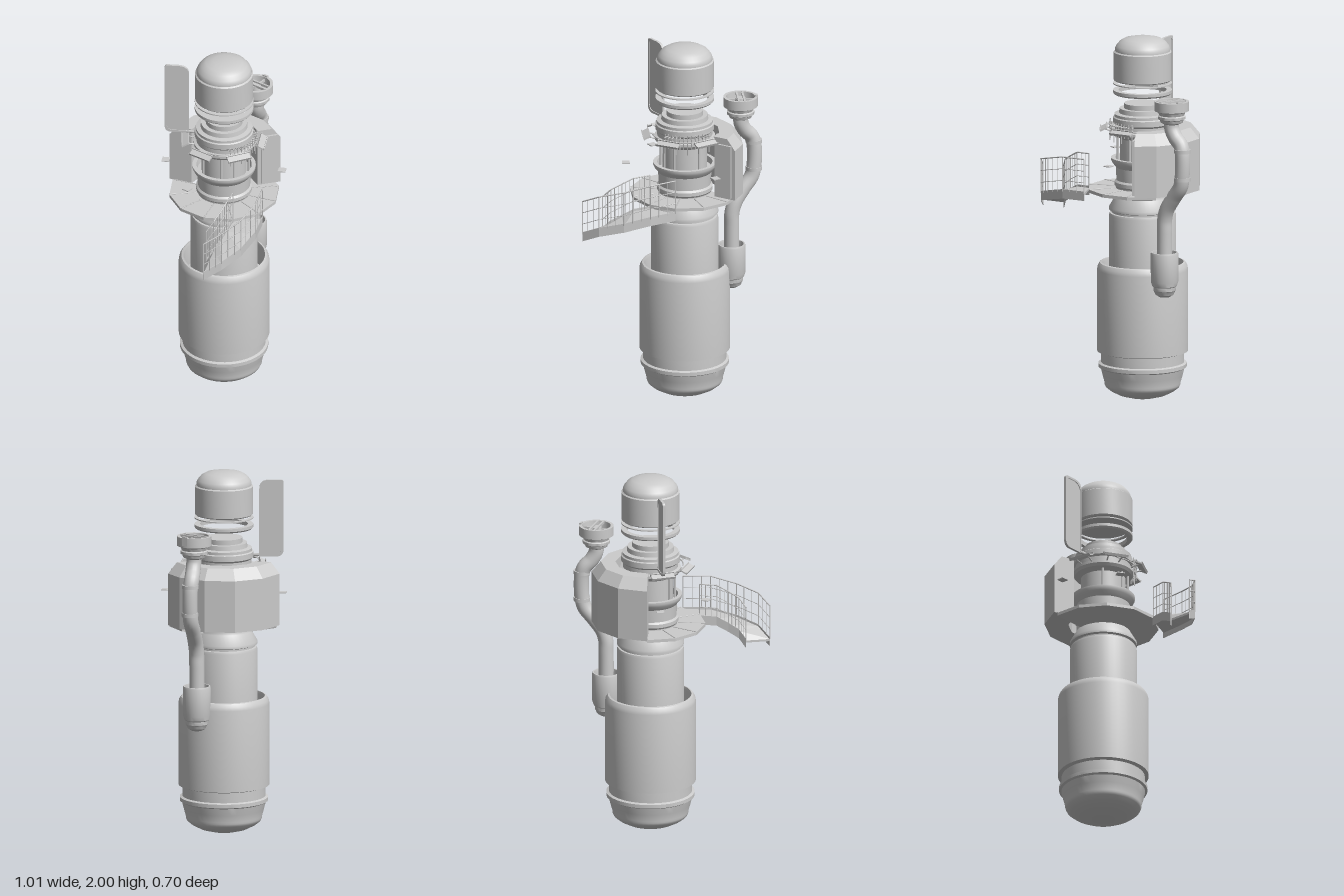
import * as THREE from 'three';
import { toCreasedNormals } from 'three/addons/utils/BufferGeometryUtils.js';

const CX = 0.08, CZ = -0.045; // main axis of the tower
const V = (x, y, z) => new THREE.Vector3(x, y, z);
const rad = THREE.MathUtils.degToRad;
// point at an angle round the main axis (0 = +x, 90 = front)
const polar = (r, y, deg) => V(CX + r * Math.cos(rad(deg)), y, CZ + r * Math.sin(rad(deg)));

export function createModel() {
  const model = new THREE.Group();
  const mat = new THREE.MeshStandardMaterial({ color: 0xcccccc });
  const both = new THREE.MeshStandardMaterial({ color: 0xcccccc, side: THREE.DoubleSide });

  function add(name, geo, x = 0, y = 0, z = 0, material = mat, parent = model) {
    const m = new THREE.Mesh(geo, material);
    m.name = name;
    m.position.set(x, y, z);
    parent.add(m);
    return m;
  }
  function lathe(name, pts, x = CX, z = CZ, seg = 48) {
    const geo = new THREE.LatheGeometry(pts.map(([r, y]) => new THREE.Vector2(r, y)), seg);
    return add(name, toCreasedNormals(geo, 0.55), x, 0, z, both);
  }
  function rod(name, a, b, r, parent = model) {
    const d = b.clone().sub(a);
    const m = add(name, new THREE.CylinderGeometry(r, r, d.length(), 6), 0, 0, 0, mat, parent);
    m.position.copy(a).add(b).multiplyScalar(0.5);
    m.quaternion.setFromUnitVectors(V(0, 1, 0), d.normalize());
    return m;
  }
  // faceted solid through closed convex cross-sections
  function loft(name, sections) {
    const p = [], tri = (...v) => v.forEach(q => p.push(q.x, q.y, q.z));
    const n = sections[0].length, last = sections[sections.length - 1];
    for (let i = 0; i < sections.length - 1; i++) {
      for (let j = 0; j < n; j++) {
        const k = (j + 1) % n, s = sections[i], t = sections[i + 1];
        tri(s[j], s[k], t[j]);
        tri(s[k], t[k], t[j]);
      }
    }
    for (let j = 1; j < n - 1; j++) {
      tri(sections[0][0], sections[0][j + 1], sections[0][j]);
      tri(last[0], last[j], last[j + 1]);
    }
    const g = new THREE.BufferGeometry();
    g.setAttribute('position', new THREE.Float32BufferAttribute(p, 3));
    g.computeVertexNormals();
    return add(name, g, 0, 0, 0, both);
  }
  const ringSector = (name, angles, profile) =>
    loft(name, angles.map(a => profile.map(([r, y]) => polar(r, y, a))));

  // Lower tank with rounded base and hollow rim
  lathe('lowerTank', [[0, 0], [0.07, 0.006], [0.13, 0.022], [0.175, 0.045], [0.2, 0.065], [0.207, 0.08],
    [0.207, 0.09], [0.218, 0.13], [0.228, 0.17], [0.24, 0.177], [0.24, 0.197], [0.226, 0.203], [0.226, 0.258],
    [0.247, 0.265], [0.247, 0.715], [0.243, 0.735], [0.232, 0.752], [0.222, 0.755], [0.218, 0.74], [0.218, 0.62], [0.18, 0.62]]);
  // Stepped inner column, bowl and collar
  lathe('column', [[0.182, 0.6], [0.182, 1.015], [0.178, 1.028], [0.168, 1.03], [0.168, 1.04], [0.182, 1.045],
    [0.182, 1.06], [0.15, 1.115], [0.145, 1.125], [0.145, 1.17], [0.152, 1.18], [0.152, 1.2], [0.142, 1.21], [0.145, 1.28],
    [0.165, 1.305], [0.172, 1.32], [0.172, 1.332], [0.15, 1.332], [0.145, 1.30], [0.122, 1.30],
    [0.122, 1.44], [0.155, 1.455], [0.165, 1.47], [0.165, 1.485], [0.15, 1.49], [0.15, 1.515], [0.16, 1.525],
    [0.16, 1.555], [0.153, 1.56], [0.153, 1.575], [0.128, 1.58], [0.125, 1.605], [0.1, 1.605], [0.1, 1.632], [0, 1.632]]);
  // Separated rings and domed capsule above
  lathe('floatingRing', [[0.13, 1.682], [0.152, 1.682], [0.16, 1.69], [0.16, 1.706], [0.13, 1.706], [0.13, 1.682]]);
  lathe('thinRing', [[0.14, 1.739], [0.16, 1.739], [0.16, 1.745], [0.14, 1.745], [0.14, 1.739]]);
  lathe('capsule', [[0, 1.757], [0.152, 1.757], [0.158, 1.763], [0.158, 1.915], [0.15, 1.921], [0.15, 1.935],
    [0.143, 1.95], [0.125, 1.972], [0.1, 1.987], [0.06, 1.996], [0, 2]]);

  // Faceted housing wrapping the back and left side
  ringSector('housing', [-105, -75, -45, -15, 15, 37],
    [[0.32, 1.165], [0.32, 1.45], [0.27, 1.51], [0.19, 1.51], [0.19, 1.165]]);
  const door = add('housingDoor', new THREE.BoxGeometry(0.09, 0.3, 0.012));
  door.position.copy(polar(0.255, 1.325, 39));
  door.rotation.y = -rad(37);

  // Walkway round the front and right side, with its joints
  const deck = [15, 45, 75, 105, 135, 165, 195, 225, 255];
  ringSector('walkway', deck, [[0.3, 1.148], [0.3, 1.165], [0.14, 1.165], [0.14, 1.115]]);
  deck.slice(1).forEach(a => rod('walkwayJoint', polar(0.15, 1.166, a), polar(0.298, 1.166, a), 0.003));

  // Curved stair descending from the walkway
  const outer = [[0, 0.275], [-0.14, 0.33], [-0.285, 0.34], [-0.42, 0.31], [-0.505, 0.25]];
  const inner = [[-0.13, 0.17], [-0.22, 0.195], [-0.285, 0.2], [-0.345, 0.2], [-0.39, 0.185]];
  const steps = [1.145, 1.14, 1.11, 1.08, 1.035];
  loft('stairRamp', steps.map((y, i) => {
    const [a, b] = outer[i], [c, d] = inner[i];
    return [V(a, y - 0.012, b), V(a, y, b), V(c, y, d), V(c, y - 0.012, d)];
  }));
  for (const [name, side] of [['outer', outer], ['inner', inner]]) {
    const rail = new THREE.Group();
    rail.name = name + 'Railing';
    model.add(rail);
    const at = (i, h) => V(side[i][0], steps[i] + h, side[i][1]);
    // side stringer
    loft(name + 'Stringer', steps.map((y, i) => {
      const [x, z] = side[i];
      return [V(x, y - 0.04, z), V(x, y + 0.012, z), V(x, y + 0.012, z - 0.004), V(x, y - 0.04, z - 0.004)];
    }));
    for (let i = 0; i < steps.length; i++) {
      rod('post', at(i, 0), at(i, 0.19), 0.003, rail);
      if (i === steps.length - 1) continue;
      for (const h of [0.06, 0.125, 0.19]) rod('rail', at(i, h), at(i + 1, h), h > 0.18 ? 0.0035 : 0.002, rail);
      for (const t of [1 / 3, 2 / 3])
        rod('post', at(i, 0).lerp(at(i + 1, 0), t), at(i, 0.19).lerp(at(i + 1, 0.19), t), 0.002, rail);
    }
  }

  // Tilted consoles round the collar, on short brackets
  for (const a of [62, 121, 180, 233]) {
    const g = new THREE.Group();
    g.name = 'console';
    g.position.copy(polar(0.21, 1.495, a));
    g.rotation.set(0, rad(90 - a), 0);
    model.add(g);
    const tilt = new THREE.Group();
    tilt.name = 'consoleHead';
    tilt.rotation.x = 0.45;
    g.add(tilt);
    add('consolePanel', new THREE.BoxGeometry(0.13, 0.008, 0.036), 0, 0, 0, mat, tilt);
    for (const z of [-0.018, 0.018]) add('consoleFrame', new THREE.BoxGeometry(0.134, 0.014, 0.005), 0, 0.003, z, mat, tilt);
    for (const x of [-0.04, 0.04]) rod('consoleBracket', V(x, 0, 0), V(x * 0.8, -0.015, -0.06), 0.004, g);
  }
  // Small separate plates
  for (const a of [64, 182, 242]) {
    const plate = add('smallPlate', new THREE.BoxGeometry(0.042, 0.005, 0.042));
    plate.position.copy(polar(0.32, 1.332, a));
    plate.rotation.y = -rad(a);
  }
  // Rods hanging from the front of the collar
  for (let i = 0; i < 13; i++) {
    const a = 48 + i * 7, drop = i % 3 ? 1.46 : 1.43;
    rod('collarRod', polar(0.178, drop, a), polar(0.178, 1.54, a), 0.003);
    rod('collarPeg', polar(0.15, 1.52, a), polar(0.185, 1.52, a), 0.004);
  }
  const band = add('collarBand', new THREE.TorusGeometry(0.178, 0.004, 6, 40, rad(160)), CX, 1.5, CZ);
  band.rotation.set(Math.PI / 2, 0, -rad(-15));
  // Service poles between bowl and collar
  for (const a of [60, 120, 150, 200]) rod('servicePole', polar(0.135, 1.3, a), polar(0.135, 1.46, a), 0.007);

  // Upright rounded fin behind the capsule, with raised border
  const fin = new THREE.Group();
  fin.name = 'fin';
  fin.position.set(-0.055, 1.53, -0.265);
  fin.rotation.y = rad(58.7);
  fin.rotation.y *= -1;
  model.add(fin);
  const finShape = (s, w, h, o) => {
    s.moveTo(w, o);
    s.lineTo(w, h - 0.05);
    s.quadraticCurveTo(w, h, w - 0.06, h);
    s.lineTo(-w + 0.015, h);
    s.quadraticCurveTo(-w, h, -w, h - 0.015);
    s.lineTo(-w, o + 0.04);
    s.quadraticCurveTo(-w, o, -w + 0.04, o);
    s.closePath();
    return s;
  };
  const sheet = (s, d) => new THREE.ExtrudeGeometry(s, { depth: d, bevelEnabled: false });
  add('finPanel', sheet(finShape(new THREE.Shape(), 0.064, 0.42, 0), 0.006), 0, 0, -0.003, mat, fin);
  const border = finShape(new THREE.Shape(), 0.066, 0.422, -0.002);
  border.holes.push(finShape(new THREE.Path(), 0.056, 0.41, 0.01));
  add('finBorder', sheet(border, 0.014), 0, 0, -0.007, mat, fin);
  rod('finArm', V(-0.03, 1.535, -0.22), polar(0.14, 1.535, 235), 0.008);

  // Side pipe with bends
  const path = new THREE.CatmullRomCurve3([V(0.385, 1.6, -0.055), V(0.388, 1.54, -0.056), V(0.41, 1.495, -0.065),
    V(0.445, 1.455, -0.08), V(0.46, 1.41, -0.082), V(0.46, 1.28, -0.08), V(0.447, 1.225, -0.077), V(0.4, 1.16, -0.062),
    V(0.355, 1.09, -0.045), V(0.337, 1.03, -0.04), V(0.335, 0.96, -0.04), V(0.335, 0.7, -0.04)]);
  add('sidePipe', new THREE.TubeGeometry(path, 90, 0.041, 20), 0, 0, 0, both);
  for (const [x, y, z] of [[0.46, 1.425, -0.082], [0.46, 1.27, -0.08]])
    add('pipeCollar', new THREE.CylinderGeometry(0.045, 0.045, 0.02, 20), x, y, z);
  // Cup at the foot of the pipe
  lathe('pipeCup', [[0, 0.6], [0.03, 0.604], [0.05, 0.617], [0.058, 0.635], [0.062, 0.64], [0.062, 0.66], [0.068, 0.665],
    [0.076, 0.69], [0.076, 0.84], [0.073, 0.85], [0.066, 0.85], [0.064, 0.84], [0.064, 0.78], [0.03, 0.78]], 0.335, -0.04, 28);
  // Intake funnel on top of the pipe, with bars and hub
  const fx = 0.385, fz = -0.057;
  lathe('intake', [[0.04, 1.565], [0.06, 1.575], [0.066, 1.59], [0.075, 1.595], [0.075, 1.61], [0.068, 1.615],
    [0.075, 1.632], [0.094, 1.64], [0.094, 1.692], [0.078, 1.692], [0.074, 1.65], [0, 1.645]], fx, fz, 32);
  add('intakeHub', new THREE.CylinderGeometry(0.028, 0.034, 0.04, 20), fx, 1.665, fz);
  for (const s of [-1, 1]) add('intakeBar', new THREE.BoxGeometry(0.01, 0.014, 0.162), fx + s * 0.016, 1.687, fz);
  add('intakeCrossBar', new THREE.BoxGeometry(0.155, 0.014, 0.008), fx, 1.672, fz);
  add('intakeLug', new THREE.BoxGeometry(0.012, 0.05, 0.03), fx + 0.088, 1.675, fz);
  return model;
}
